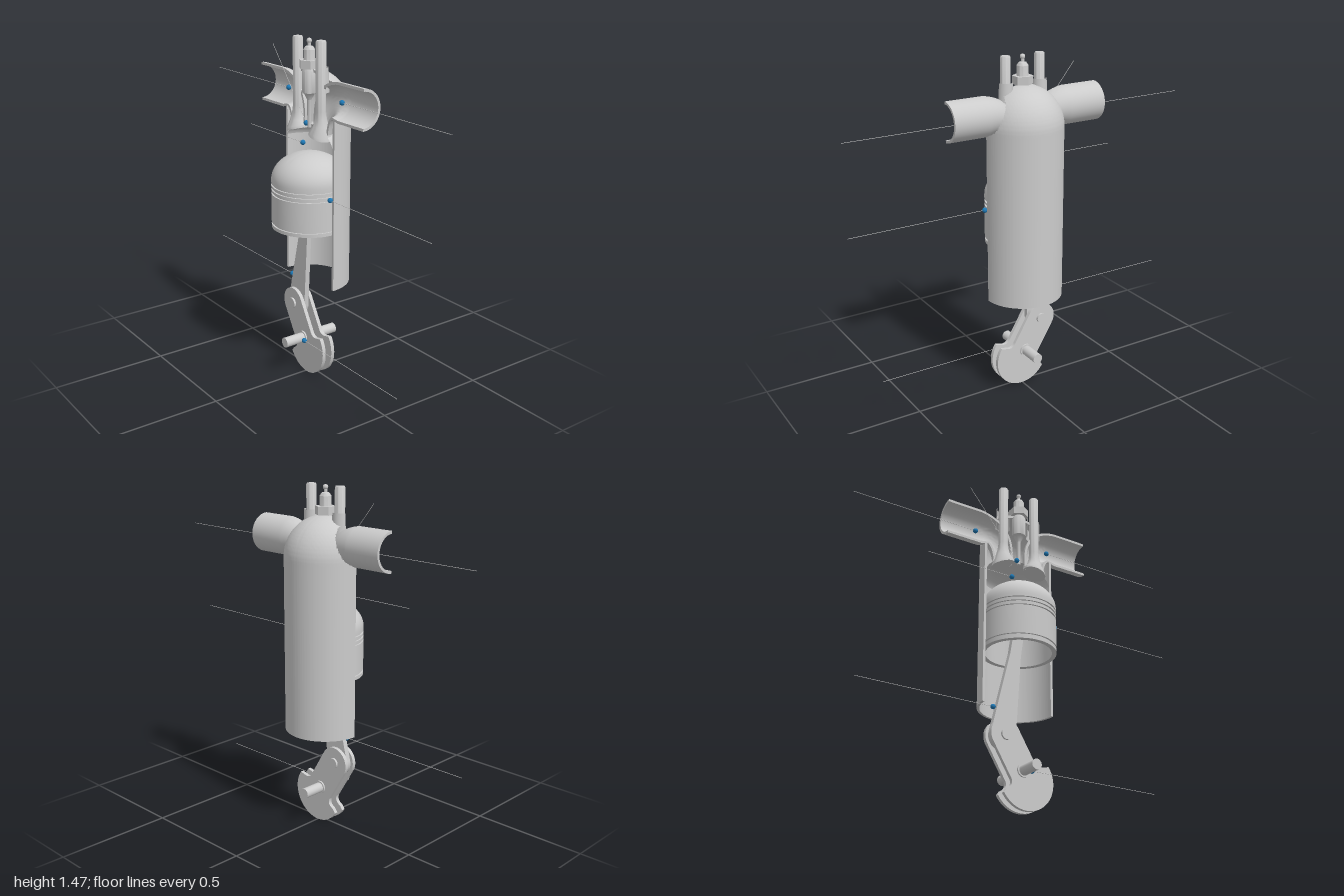
import * as THREE from 'three';
import { toCreasedNormals } from 'three/addons/utils/BufferGeometryUtils.js';

const grey = new THREE.MeshStandardMaterial({ color: 0xcccccc });
const greyOpen = new THREE.MeshStandardMaterial({ color: 0xcccccc, side: THREE.DoubleSide });
const blue = new THREE.MeshStandardMaterial({ color: 0x1f78b4 });
const V2 = (x, y) => new THREE.Vector2(x, y);
const V3 = (x, y, z) => new THREE.Vector3(x, y, z);

function add(parent, name, geo, mat = grey, pos = [0, 0, 0]) {
  const m = new THREE.Mesh(geo, mat);
  m.name = name;
  m.position.set(...pos);
  parent.add(m);
  return m;
}

// Surface through rows of points; keep() can drop cells to cut openings
function grid(rows, keep = () => true) {
  const n = rows[0].length, idx = [];
  for (let i = 0; i < rows.length - 1; i++) for (let j = 0; j < n - 1; j++) {
    const mid = rows[i][j].clone().add(rows[i + 1][j + 1]).multiplyScalar(0.5);
    if (!keep(mid)) continue;
    const a = i * n + j, b = a + n;
    idx.push(a, b, a + 1, b, b + 1, a + 1);
  }
  const g = new THREE.BufferGeometry().setFromPoints(rows.flat());
  g.setIndex(idx);
  return toCreasedNormals(g, 0.6);
}

const lathe = (pts, seg = 48) =>
  toCreasedNormals(new THREE.LatheGeometry(pts.map(p => V2(...p)), seg), 0.6);
const rodZ = (r, len) => new THREE.CylinderGeometry(r, r, len, 32).rotateX(Math.PI / 2);
const plate = (shape, depth) =>
  new THREE.ExtrudeGeometry(shape, { depth, bevelEnabled: false, curveSegments: 32 }).translate(0, 0, -depth / 2);

const PIPE_Y = 1.245, PIPE_R = 0.083, WALL = 0.011;

// Half wall profile: straight bore with hemispherical top
function wallProfile(r) {
  const pts = [];
  for (let i = 0; i <= 60; i++) pts.push(V2(r, 0.437 + (1.184 - 0.437) * i / 60));
  for (let i = 1; i <= 40; i++) {
    const a = i / 40 * Math.PI / 2;
    pts.push(V2(r * Math.cos(a), 1.184 + r * Math.sin(a)));
  }
  return pts;
}

function cylinderHousing(parent) {
  const outer = wallProfile(0.171), inner = wallProfile(0.171 - WALL);
  const loop = [...outer, ...inner.slice().reverse(), outer[0]];
  const rows = [];
  for (let i = 0; i <= 96; i++) {
    const a = i / 96 * Math.PI;
    rows.push(loop.map(p => V3(p.x * Math.cos(a), p.y, -p.x * Math.sin(a))));
  }
  const outsidePipe = p => Math.abs(p.x) < 0.06 || Math.hypot(p.y - PIPE_Y, p.z) > PIPE_R - 0.005;
  add(parent, 'cylinderHousing', grid(rows, outsidePipe), greyOpen);
  // cut edges of the wall
  for (const s of [1, -1]) {
    const rim = [outer, inner].map(l => l.map(p => V3(s * p.x, p.y, 0)));
    add(parent, 'housingCutEdge', grid(rim, outsidePipe), greyOpen);
  }
  // combustion chamber roof
  const roof = [];
  for (let i = 0; i <= 16; i++) {
    const a = i / 16 * Math.PI / 2;
    roof.push(V2(0.163 * Math.cos(a), 1.03 + 0.096 * Math.sin(a)));
  }
  add(parent, 'chamberRoof', new THREE.LatheGeometry(roof, 48, Math.PI / 2, Math.PI), greyOpen);
}

// Sectioned port pipe, bending down to the valve seat
function portPipe(parent, s) {
  const bend = new THREE.CubicBezierCurve(V2(0.19, PIPE_Y), V2(0.11, PIPE_Y), V2(0.08, 1.2), V2(0.08, 1.1));
  const stations = [{ p: V2(0.353, PIPE_Y), t: V2(-1, 0), r: PIPE_R }];
  for (let i = 0; i <= 20; i++) {
    const u = i / 20;
    stations.push({ p: bend.getPoint(u), t: bend.getTangent(u), r: PIPE_R - 0.036 * u });
  }
  const rows = stations.map(({ p, t, r }) => {
    const at = (a, q) => V3(s * (p.x - t.y * Math.cos(a) * q), p.y + t.x * Math.cos(a) * q, -Math.sin(a) * q);
    const row = [];
    for (let j = 0; j <= 24; j++) row.push(at(j / 24 * Math.PI, r));
    for (let j = 24; j >= 0; j--) row.push(at(j / 24 * Math.PI, r - WALL));
    row.push(row[0].clone());
    return row;
  });
  const name = s < 0 ? 'intakePipe' : 'exhaustPipe';
  add(parent, name, grid(rows), greyOpen);
  // annular end face
  const end = rows[0];
  add(parent, name + 'End', grid([end.slice(0, 25), end.slice(25, 50).reverse()]), greyOpen);
}

function valve(parent, s) {
  const g = new THREE.LatheGeometry([[0, 1.085], [0.05, 1.088], [0.048, 1.1], [0.033, 1.13], [0.025, 1.16],
    [0.021, 1.19], [0.021, 1.47], [0.018, 1.475], [0, 1.475]].map(p => V2(...p)), 32);
  // slant the head to follow the roof
  const p = g.attributes.position;
  for (let i = 0; i < p.count; i++) if (p.getY(i) < 1.12) p.setY(i, p.getY(i) - 0.3 * s * p.getX(i));
  add(parent, s < 0 ? 'intakeValve' : 'exhaustValve', toCreasedNormals(g, 0.6), grey, [s * 0.08, 0, 0]);
  add(parent, 'valveGuide', new THREE.CylinderGeometry(0.03, 0.034, 0.1, 24, 1, true, Math.PI / 2, Math.PI),
    greyOpen, [s * 0.08, 1.32, 0]);
}

function injector(parent) {
  add(parent, 'injectorBody', lathe([[0, 1.105], [0.008, 1.11], [0.009, 1.225], [0.022, 1.25], [0.03, 1.255],
    [0.03, 1.345], [0.024, 1.355], [0.024, 1.43], [0.016, 1.442], [0.007, 1.445], [0.007, 1.46], [0, 1.46]], 32));
  const nut = new THREE.CylinderGeometry(0.043, 0.043, 0.034, 6).toNonIndexed();
  nut.computeVertexNormals();
  add(parent, 'injectorNut', nut, grey, [0, 1.372, 0]);
  add(parent, 'injectorTip', new THREE.SphereGeometry(0.011, 16, 12), grey, [0, 1.465, 0]);
}

function piston(parent) {
  const R = 0.16, pts = [[0, 0.86], [0.14, 0.86], [0.14, 0.683], [R, 0.683]];
  for (const y of [0.702, 0.835, 0.853, 0.871]) // ring grooves
    pts.push([R, y - 0.004], [R - 0.007, y - 0.004], [R - 0.007, y + 0.004], [R, y + 0.004]);
  for (let i = 0; i <= 16; i++) { // domed crown
    const a = i / 16 * Math.PI / 2;
    pts.push([R * Math.cos(a), 0.888 + 0.118 * Math.sin(a)]);
  }
  add(parent, 'piston', lathe(pts, 64), greyOpen);
  add(parent, 'wristPin', rodZ(0.02, 0.29), grey, [0, 0.82, 0]);
}

function crankAssembly(parent) {
  const pin = V2(-0.096, 0.302), shaft = V2(-0.016, 0.166), Z = 0.008;
  // connecting rod, drawn upright from the crank pin
  const L = Math.hypot(0.08, 0.518), rod = new THREE.Shape();
  rod.absarc(0, 0, 0.058, Math.PI - 0.1, 0.1, false);
  rod.lineTo(0.026, 0.37);
  rod.absarc(0, L, 0.03, -0.6, Math.PI + 0.6, false);
  rod.lineTo(-0.026, 0.37);
  const m = add(parent, 'connectingRod', plate(rod, 0.022), grey, [pin.x, pin.y, Z]);
  m.rotation.z = -Math.atan2(0.08, 0.518);

  // crank web with counterweight
  const web = new THREE.Shape();
  web.absarc(pin.x, pin.y, 0.068, Math.PI + 0.531, 0.531, true);
  web.lineTo(0.035, 0.215);
  web.quadraticCurveTo(0.05, 0.185, 0.08, 0.195);
  web.absarc(0.003, 0.131, 0.124, 0.6, -2.6, true);
  web.lineTo(-0.09, 0.085);
  web.quadraticCurveTo(-0.06, 0.098, -0.069, 0.125);
  web.closePath();
  for (const s of [1, -1]) {
    add(parent, 'crankWeb', plate(web, 0.016), grey, [0, 0, Z + s * 0.023]);
    add(parent, 'crankShaft', rodZ(0.022, 0.105), grey, [shaft.x, shaft.y, Z + s * 0.079]);
    add(parent, 'shaftCollar', rodZ(0.028, 0.008), grey, [shaft.x, shaft.y, Z + s * 0.034]);
  }
  add(parent, 'crankPin', rodZ(0.023, 0.08), grey, [pin.x, pin.y, Z]);
}

// Marker dots with thin leader lines
function markers(parent) {
  const list = [[-0.217, 1.238, -0.03, -0.79, 1.238], [0.155, 1.238, -0.03, 0.78, 1.238],
    [-0.03, 1.126, 0.012, -0.27, 1.42], [-0.055, 1.038, 0.012, -0.46, 1.038],
    [0.155, 0.842, 0.025, 0.76, 0.842], [-0.14, 0.42, 0.01, -0.74, 0.42], [0.014, 0.165, 0.056, 0.635, 0.165]];
  for (const [x, y, z, ex, ey] of list) {
    add(parent, 'markerDot', new THREE.SphereGeometry(0.011, 16, 12), blue, [x, y, z]);
    const line = add(parent, 'leaderLine', new THREE.CylinderGeometry(0.001, 0.001, Math.hypot(ex - x, ey - y), 6),
      grey, [(x + ex) / 2, (y + ey) / 2, z]);
    line.rotation.z = Math.atan2(x - ex, ey - y);
  }
}

export function createModel() {
  const model = new THREE.Group();
  model.name = 'engineCylinder';
  const body = new THREE.Group();
  body.name = 'cylinderAssembly';
  body.position.set(-0.017, 0, 0.006);
  model.add(body);
  cylinderHousing(body);
  for (const s of [-1, 1]) {
    portPipe(body, s);
    valve(body, s);
  }
  injector(body);
  piston(body);
  crankAssembly(model);
  markers(model);
  return model;
}
